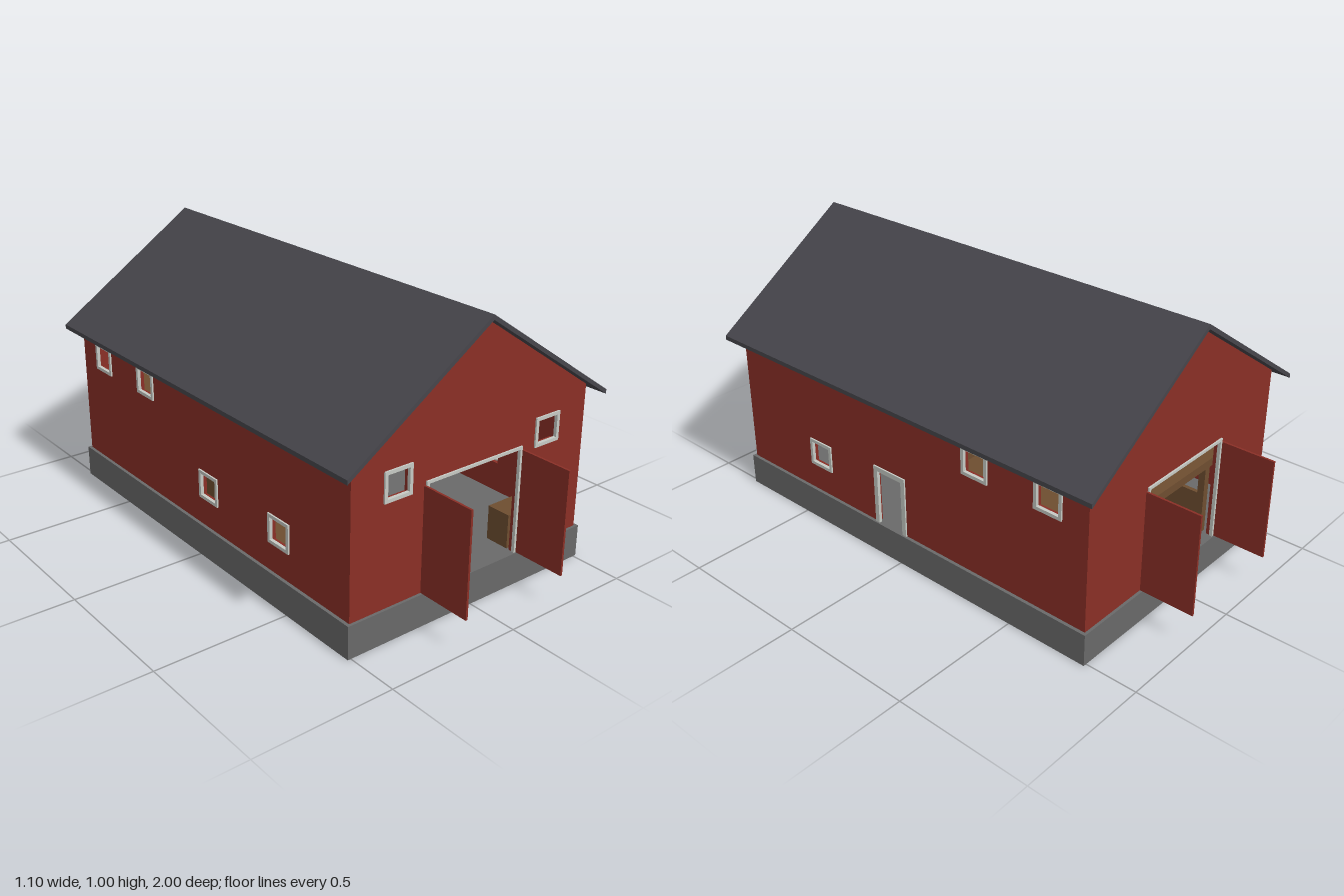
import * as THREE from 'three';

const FLOOR = 0.117, EAVE = 0.645, RIDGE = 0.98, T = 0.02;

export function createModel() {
  const mat = (name, color) => {
    const m = new THREE.MeshStandardMaterial({ color });
    m.name = name;
    return m;
  };
  const red = mat('barn red', 0x8a2f26);
  const stone = mat('concrete grey', 0x696969);
  const slate = mat('roof slate', 0x46454b);
  const trim = mat('pale trim', 0xc6cac4);
  const wood = mat('brown timber', 0x6e4e30);

  const barn = new THREE.Group();
  barn.name = 'barn';

  const add = (parent, name, geometry, material) => {
    const m = new THREE.Mesh(geometry, material);
    m.name = name;
    parent.add(m);
    return m;
  };
  // Box given by its minimum and maximum corners
  const box = (parent, name, material, [x0, x1], [y0, y1], [z0, z1]) => {
    const m = add(parent, name, new THREE.BoxGeometry(x1 - x0, y1 - y0, z1 - z0), material);
    m.position.set((x0 + x1) / 2, (y0 + y1) / 2, (z0 + z1) / 2);
    return m;
  };
  const shapeOf = pts => new THREE.Shape(pts.map(p => new THREE.Vector2(...p)));
  const rect = (u0, u1, y0, y1) => [[u0, y0], [u1, y0], [u1, y1], [u0, y1]];
  const extrude = (shape, depth) => new THREE.ExtrudeGeometry(shape, { depth, bevelEnabled: false });

  // Wall facing local +z, with window holes and an optional doorway notch
  function wall(name, half, gable, windows, door, frameW) {
    const g = new THREE.Group();
    g.name = name;
    const pts = [[-half, FLOOR]];
    if (door) {
      const [a, b, h] = door;
      pts.push([a, FLOOR], [a, h], [b, h], [b, FLOOR]);
    }
    pts.push([half, FLOOR], [half, EAVE]);
    if (gable) pts.push([0, RIDGE]);
    pts.push([-half, EAVE]);
    const shape = shapeOf(pts);
    for (const [u, y] of windows) {
      const s = 0.045, o = 0.055;
      shape.holes.push(new THREE.Path(rect(u - s, u + s, y - s, y + s).map(p => new THREE.Vector2(...p))));
      const frame = shapeOf(rect(u - o, u + o, y - 0.052, y + 0.052));
      frame.holes.push(new THREE.Path(rect(u - 0.043, u + 0.043, y - 0.04, y + 0.04).map(p => new THREE.Vector2(...p))));
      add(g, 'windowFrame', extrude(frame, 0.012), trim).position.z = T - 0.006;
    }
    add(g, name + 'Boards', extrude(shape, T), red);
    if (door) {
      const [a, b, h] = door, o = 0.007, i = frameW - o;
      const frame = shapeOf([[a - o, FLOOR], [a + i, FLOOR], [a + i, h - i], [b - i, h - i],
        [b - i, FLOOR], [b + o, FLOOR], [b + o, h + o], [a - o, h + o]]);
      add(g, 'doorFrame', extrude(frame, 0.012), trim).position.z = T - 0.006;
    }
    barn.add(g);
    return g;
  }

  // Foundation and floor
  box(barn, 'foundation', stone, [-0.512, 0.512], [0, FLOOR], [-0.81, 0.81]);

  // Gable walls with wide doorways; only the front has windows
  const gate = [-0.2, 0.2, 0.495];
  wall('frontWall', 0.5, true, [[-0.32, 0.53], [0.32, 0.53]], gate, 0.01).position.z = 0.78;
  const back = wall('backWall', 0.5, true, [], gate, 0.01);
  back.rotation.y = Math.PI;
  back.position.z = -0.78;

  // Long walls: left (+x) runs along -z, right (-x) along +z
  const left = wall('leftWall', 0.78, false, [[-0.405, 0.272], [0.345, 0.532], [0.645, 0.532]],
    [-0.118, 0.018, 0.338], 0.018);
  left.rotation.y = Math.PI / 2;
  left.position.x = 0.48;
  const right = wall('rightWall', 0.78, false,
    [[0.05, 0.272], [0.45, 0.272], [-0.345, 0.532], [-0.645, 0.532]]);
  right.rotation.y = -Math.PI / 2;
  right.position.x = -0.48;

  // Folded roof with overhanging eaves
  const roof = shapeOf([[-0.55, 0.609], [0, 0.979], [0.55, 0.609], [0.55, 0.625], [0, 0.996], [-0.55, 0.625]]);
  add(barn, 'roof', extrude(roof, 1.69), slate).position.z = -0.845;

  // Door leaves standing open at both ends
  for (const sx of [-1, 1]) for (const sz of [-1, 1]) {
    const leaf = box(barn, 'openDoor', red, [-0.004, 0.004], [FLOOR, 0.488], [-0.1, 0.1]);
    leaf.position.x = sx * 0.21;
    leaf.position.z = sz * 0.9;
  }

  // Hay loft over the rear half, with a front parapet
  box(barn, 'loftFloor', wood, [-0.48, 0.48], [0.38, 0.41], [-0.77, -0.15]);
  box(barn, 'loftParapet', wood, [-0.48, 0.48], [0.41, 0.495], [-0.17, -0.15]);

  // Stalls on both sides of the aisle: posts, low fronts and partitions
  for (const s of [-1, 1]) {
    const span = (a, b) => s > 0 ? [a, b] : [-b, -a];
    for (const z of [-0.75, -0.45, -0.16]) {
      box(barn, 'loftPost', wood, span(0.19, 0.215), [FLOOR, 0.38], [z - 0.0125, z + 0.0125]);
    }
    box(barn, 'stallFront', wood, span(0.19, 0.205), [FLOOR, 0.27], [-0.74, -0.17]);
    for (const z of [-0.45, -0.16]) {
      box(barn, 'stallPartition', wood, span(0.205, 0.48), [FLOOR, 0.27], [z - 0.008, z + 0.008]);
    }
    box(barn, 'frontCrate', wood, span(0.2, 0.32), [FLOOR, 0.24], [0.68, 0.77]);
  }
  box(barn, 'feedTrough', wood, [-0.46, -0.36], [FLOOR, 0.18], [0.22, 0.38]);
  box(barn, 'sideCrate', wood, [-0.46, -0.34], [FLOOR, 0.27], [-0.06, 0.13]);
  box(barn, 'stackedCrate', wood, [-0.45, -0.36], [0.27, 0.33], [-0.05, 0.055]);

  return barn;
}
